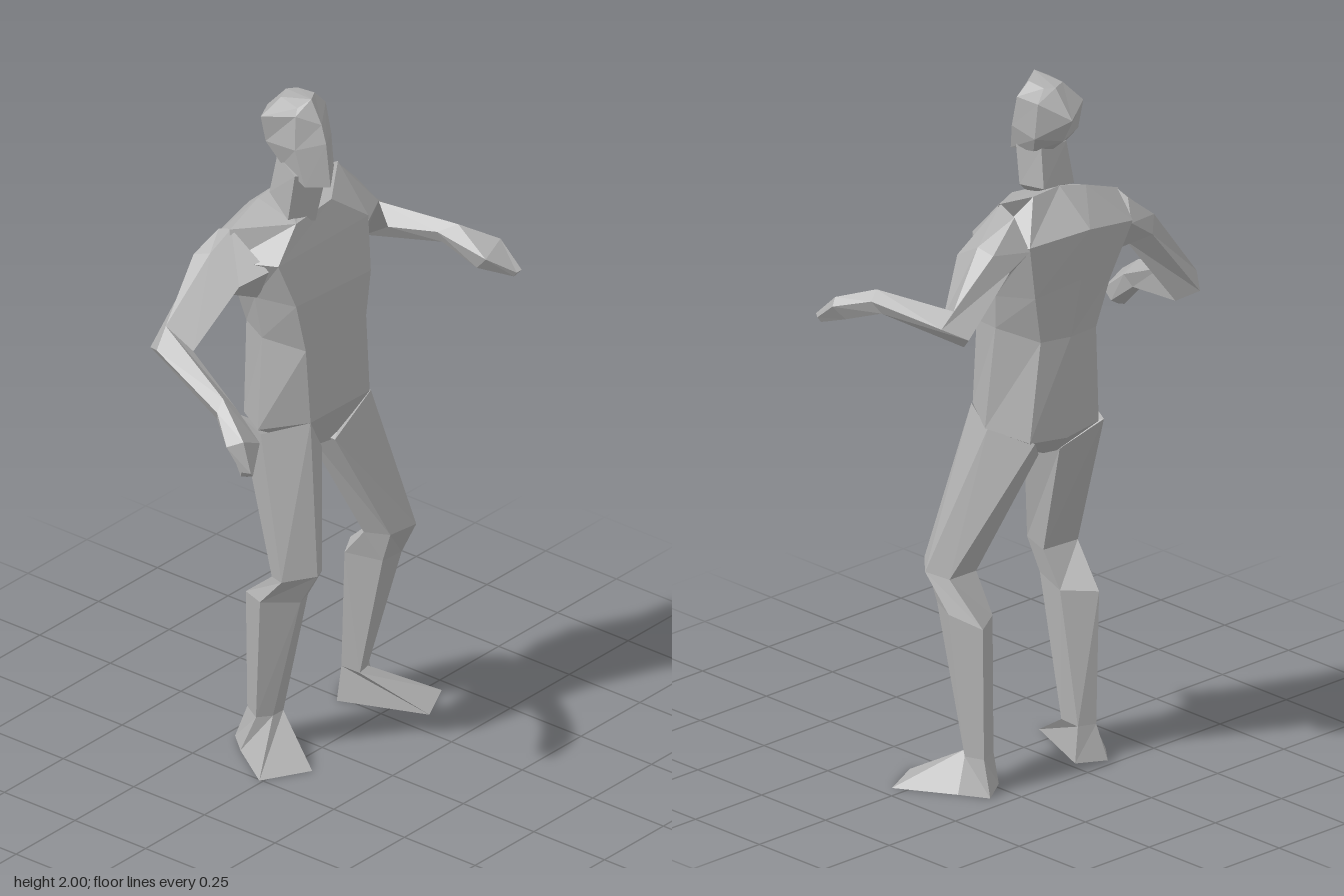
import * as THREE from 'three';

const grey = new THREE.MeshStandardMaterial({ color: 0xb0b0b0, flatShading: true });
grey.name = 'plain grey';

// Skin between cross-sections (flat x,y,z lists with equal corner counts), capped at both ends
function loft(name, rings) {
  const n = rings[0].length / 3;
  const pos = rings.flat();
  const p = (k) => new THREE.Vector3().fromArray(pos, k * 3);
  const tris = [];
  for (let r = 0; r < rings.length - 1; r++) {
    for (let i = 0; i < n; i++) {
      const a = r * n + i, b = r * n + (i + 1) % n;
      tris.push([a, b, b + n], [a, b + n, a + n]);
    }
  }
  const last = (rings.length - 1) * n;
  for (let i = 1; i < n - 1; i++) {
    tris.push([0, i + 1, i], [last, last + i, last + i + 1]);
  }
  // Turn the surface outward whichever way the sections run
  let volume = 0;
  for (const [a, b, c] of tris) volume += p(a).dot(p(b).cross(p(c)));
  const index = tris.flatMap(([a, b, c]) => (volume > 0 ? [a, b, c] : [a, c, b]));
  const indexed = new THREE.BufferGeometry();
  indexed.setAttribute('position', new THREE.Float32BufferAttribute(pos, 3));
  indexed.setIndex(index);
  const geo = indexed.toNonIndexed();
  geo.computeVertexNormals();
  const mesh = new THREE.Mesh(geo, grey);
  mesh.name = name;
  return mesh;
}

// Corners: front right, front left, side left, back left, spine, back right, side right
const torso = [
  [0, 0.93, -0.02, 0.065, 0.92, -0.02, 0.08, 0.92, -0.07, 0.07, 0.93, -0.15, 0.03, 0.93, -0.16, 0, 0.93, -0.15, -0.01, 0.93, -0.08],
  [-0.085, 1.05, 0.03, 0.16, 1.05, 0.035, 0.215, 1.02, -0.07, 0.17, 1.0, -0.2, 0.05, 0.99, -0.22, -0.08, 1.0, -0.21, -0.165, 1.02, -0.09],
  [-0.105, 1.28, 0.03, 0.145, 1.29, 0.035, 0.185, 1.31, -0.08, 0.12, 1.28, -0.19, 0.03, 1.28, -0.215, -0.07, 1.28, -0.21, -0.135, 1.29, -0.1],
  [-0.14, 1.43, 0.025, 0.165, 1.42, 0.035, 0.195, 1.41, -0.09, 0.15, 1.42, -0.2, 0.01, 1.45, -0.235, -0.11, 1.42, -0.225, -0.155, 1.42, -0.11],
  [-0.18, 1.56, -0.005, 0.19, 1.57, 0.005, 0.25, 1.56, -0.09, 0.18, 1.58, -0.21, 0, 1.6, -0.26, -0.18, 1.57, -0.24, -0.23, 1.55, -0.14],
  [-0.08, 1.645, -0.025, 0.07, 1.66, -0.025, 0.205, 1.69, -0.115, 0.11, 1.695, -0.15, 0.01, 1.7, -0.15, -0.08, 1.68, -0.16, -0.205, 1.635, -0.155],
];

const neck = [
  [-0.01, 1.63, -0.015, 0.065, 1.69, -0.05, 0.06, 1.7, -0.14, -0.05, 1.69, -0.145, -0.085, 1.65, -0.05],
  [-0.02, 1.78, 0, 0.06, 1.81, -0.03, 0.05, 1.81, -0.12, -0.04, 1.81, -0.125, -0.08, 1.79, -0.03],
];

// Corners: face, left cheek, back left, back, back right, right cheek
const head = [
  [-0.03, 1.765, 0.055, 0.05, 1.78, 0, 0.06, 1.8, -0.1, 0.01, 1.8, -0.125, -0.05, 1.79, -0.1, -0.075, 1.765, 0],
  [-0.025, 1.89, 0.035, 0.075, 1.86, -0.03, 0.085, 1.85, -0.13, 0.02, 1.84, -0.175, -0.06, 1.85, -0.15, -0.08, 1.87, -0.03],
  [-0.02, 1.94, 0.015, 0.075, 1.95, -0.05, 0.082, 1.955, -0.14, 0.02, 1.91, -0.21, -0.075, 1.93, -0.155, -0.065, 1.965, -0.04],
  [-0.01, 2.0, -0.03, 0.04, 1.99, -0.06, 0.04, 1.985, -0.12, 0.015, 1.985, -0.14, -0.03, 1.985, -0.12, -0.045, 1.98, -0.05],
];

// Arm corners: top, front, under, back, outer; sections: shoulder, upper arm, elbow, wrist
const leftArm = [
  [0.2, 1.69, -0.115, 0.2, 1.55, 0, 0.185, 1.42, -0.08, 0.18, 1.57, -0.21, 0.19, 1.66, -0.16],
  [0.3, 1.595, -0.13, 0.3, 1.55, -0.05, 0.25, 1.47, -0.09, 0.25, 1.53, -0.205, 0.29, 1.58, -0.18],
  [0.43, 1.455, -0.17, 0.4, 1.41, -0.1, 0.41, 1.35, -0.19, 0.435, 1.39, -0.235, 0.485, 1.42, -0.18],
  [0.47, 1.455, 0.09, 0.435, 1.43, 0.045, 0.45, 1.395, 0.05, 0.48, 1.395, 0.06, 0.5, 1.43, 0.08],
];
const rightArm = [
  [-0.2, 1.635, -0.155, -0.19, 1.54, -0.03, -0.15, 1.42, -0.1, -0.18, 1.56, -0.235, -0.2, 1.62, -0.2],
  [-0.26, 1.575, -0.18, -0.25, 1.5, -0.085, -0.25, 1.46, -0.14, -0.25, 1.51, -0.245, -0.27, 1.56, -0.23],
  [-0.4, 1.395, -0.22, -0.385, 1.34, -0.135, -0.37, 1.27, -0.21, -0.4, 1.31, -0.275, -0.445, 1.34, -0.215],
  [-0.47, 1.29, 0.04, -0.435, 1.25, 0.06, -0.44, 1.22, 0.03, -0.47, 1.22, 0.02, -0.5, 1.26, 0.045],
];
// Hands continue from the wrist: knuckles, fingertips
const leftHand = [leftArm[3],
  [0.53, 1.42, 0.19, 0.455, 1.39, 0.2, 0.46, 1.35, 0.165, 0.52, 1.36, 0.16, 0.55, 1.4, 0.18],
  [0.53, 1.35, 0.265, 0.515, 1.345, 0.26, 0.515, 1.33, 0.25, 0.53, 1.33, 0.245, 0.54, 1.345, 0.25],
];
const rightHand = [rightArm[3],
  [-0.52, 1.215, 0.155, -0.445, 1.18, 0.15, -0.44, 1.155, 0.115, -0.5, 1.15, 0.1, -0.55, 1.2, 0.12],
  [-0.525, 1.13, 0.185, -0.51, 1.115, 0.18, -0.515, 1.11, 0.165, -0.525, 1.11, 0.15, -0.535, 1.13, 0.16],
];

// Leg corners: front inner, front outer, side, back outer, back inner; sections: hip, knee, calf, ankle
const leftLeg = [
  [0.055, 0.93, 0, 0.165, 1.05, 0.035, 0.215, 1.02, -0.08, 0.16, 1.0, -0.21, 0.07, 0.92, -0.13],
  [0.2, 0.6, 0.075, 0.28, 0.61, 0.1, 0.335, 0.6, 0.04, 0.31, 0.59, -0.03, 0.195, 0.58, -0.015],
  [0.215, 0.5, 0.035, 0.29, 0.5, 0.04, 0.333, 0.5, -0.05, 0.3, 0.475, -0.15, 0.215, 0.48, -0.1],
  [0.25, 0.1, -0.075, 0.29, 0.105, -0.08, 0.33, 0.1, -0.11, 0.31, 0.1, -0.165, 0.25, 0.1, -0.14],
];
const rightLeg = [
  [0, 0.93, 0, -0.085, 1.05, 0.03, -0.165, 1.01, -0.08, -0.1, 1.0, -0.21, 0, 0.92, -0.14],
  [-0.06, 0.59, 0.05, -0.11, 0.6, 0.075, -0.185, 0.59, 0.01, -0.16, 0.58, -0.045, -0.04, 0.58, -0.035],
  [-0.06, 0.5, 0, -0.11, 0.5, 0.015, -0.18, 0.5, -0.07, -0.12, 0.475, -0.17, -0.04, 0.48, -0.1],
  [-0.045, 0.1, -0.1, -0.095, 0.105, -0.095, -0.125, 0.1, -0.13, -0.09, 0.1, -0.19, -0.04, 0.1, -0.17],
];
// Feet spread from the ankle to a flat, splayed sole
const leftFoot = [leftLeg[3],
  [0.33, 0, 0.105, 0.46, 0, 0.04, 0.365, 0, -0.12, 0.32, 0, -0.2, 0.23, 0, -0.14],
];
const rightFoot = [rightLeg[3],
  [-0.12, 0, 0.065, -0.255, 0, -0.01, -0.155, 0, -0.16, -0.1, 0, -0.225, -0.02, 0, -0.18],
];

export function createModel() {
  const figure = new THREE.Group();
  figure.name = 'standingFigure';
  const parts = {
    torso, neck, head, leftArm, rightArm, leftHand, rightHand,
    leftLeg, rightLeg, leftFoot, rightFoot,
  };
  for (const [name, rings] of Object.entries(parts)) figure.add(loft(name, rings));
  return figure;
}
